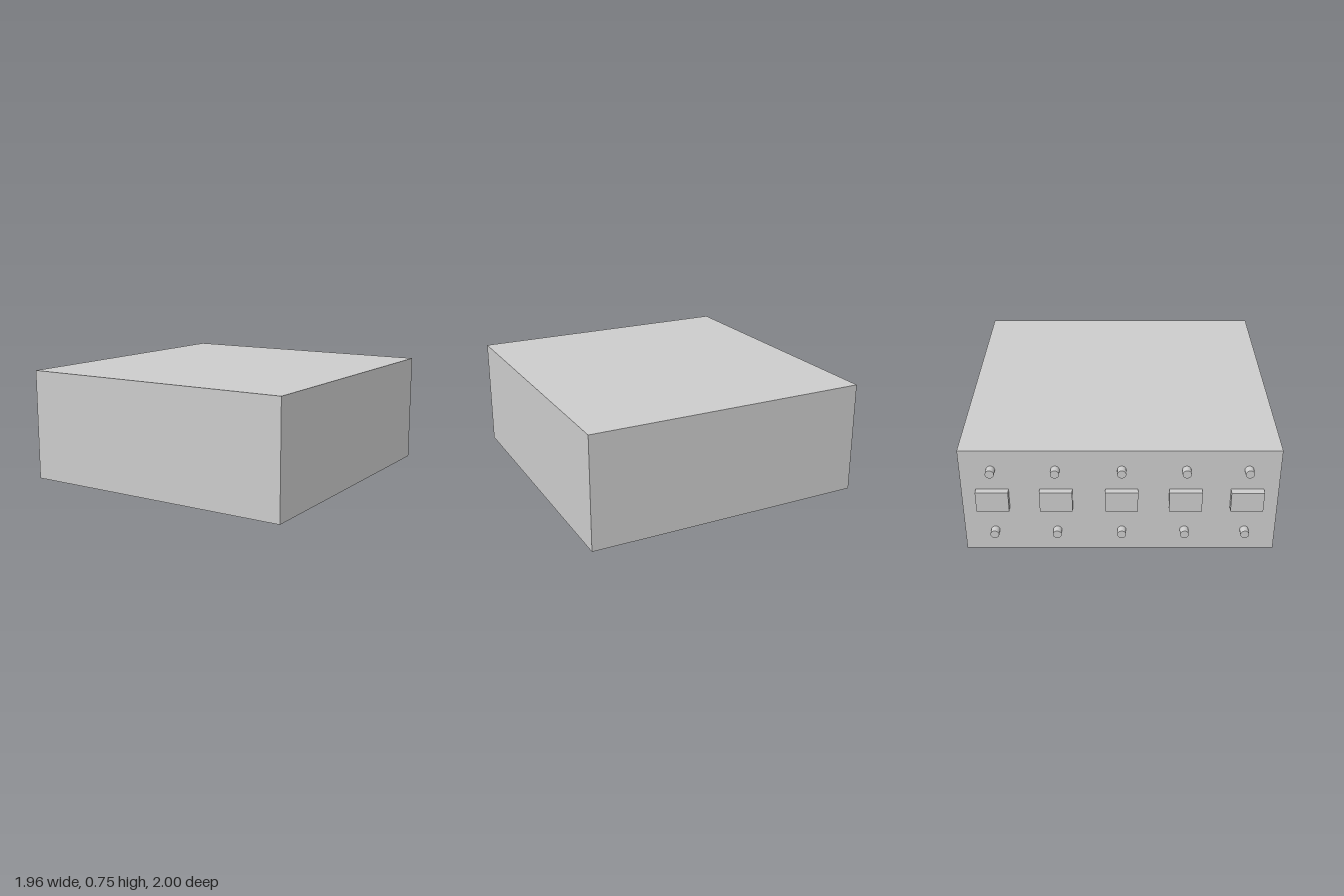
import * as THREE from 'three';

export function createModel() {
  const group = new THREE.Group();
  const material = new THREE.MeshStandardMaterial({ color: 0xcccccc });

  function add(name, geometry, x, y, z) {
    const mesh = new THREE.Mesh(geometry, material);
    mesh.name = name;
    mesh.position.set(x, y, z);
    group.add(mesh);
  }

  // Main housing; its -x side carries the controls
  const sideX = -0.93;
  add('housing', new THREE.BoxGeometry(1.91, 0.755, 2), 0.025, 0.3775, 0);

  // Shared control shapes
  const plateDepth = 0.044;
  const pinLength = 0.053;
  const plate = new THREE.BoxGeometry(plateDepth, 0.141, 0.207);
  const pin = new THREE.CylinderGeometry(0.028, 0.028, pinLength, 32).rotateZ(Math.PI / 2);

  // Five columns: a plate with one pin above and one below
  [-0.804, -0.403, 0.011, 0.414, 0.802].forEach((z, i) => {
    add(`plate${i + 1}`, plate, sideX - plateDepth / 2, 0.398, z);
    add(`upperPin${i + 1}`, pin, sideX - pinLength / 2, 0.615, z);
    add(`lowerPin${i + 1}`, pin, sideX - pinLength / 2, 0.149, z);
  });

  return group;
}
